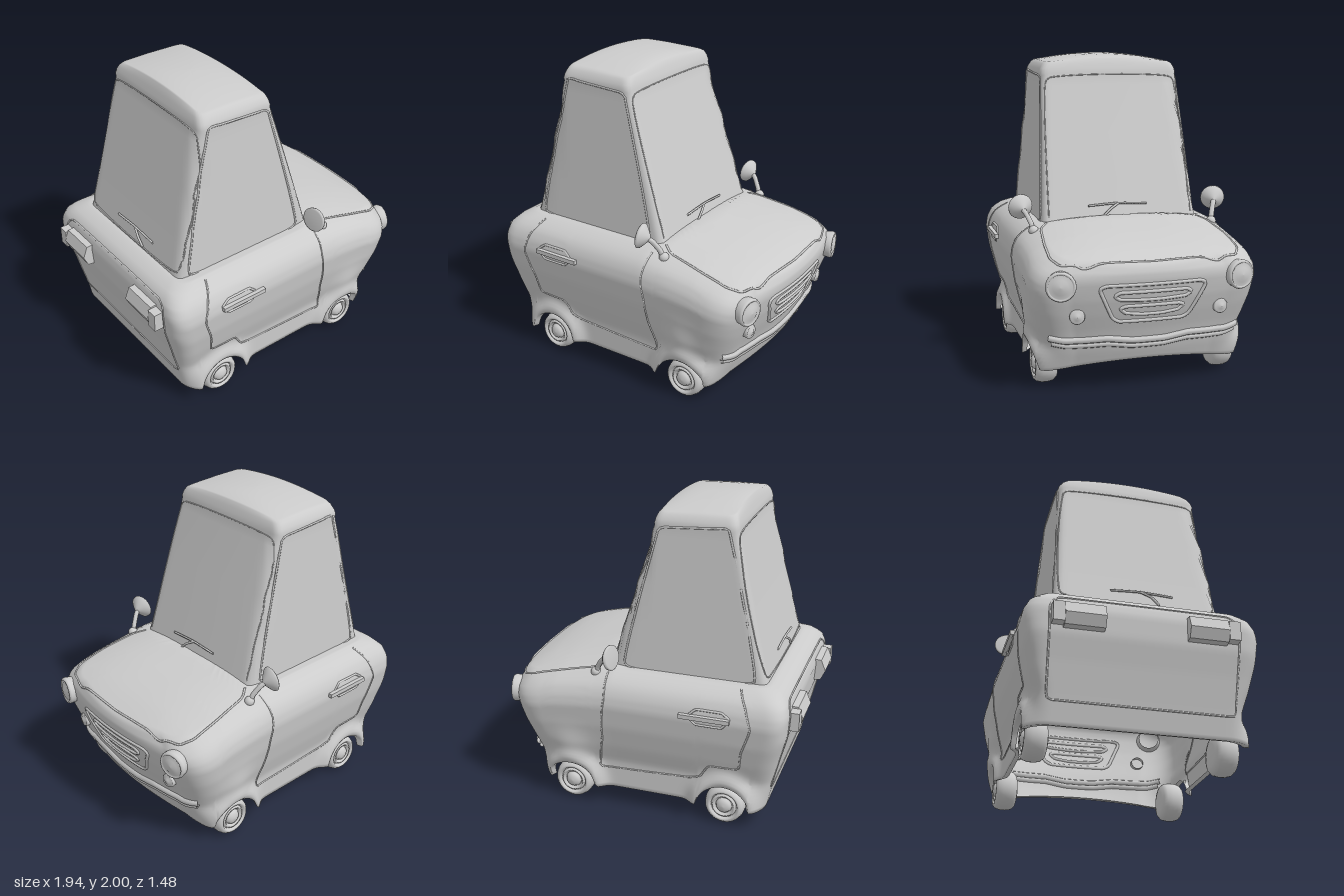
import * as THREE from 'three';

const grey = new THREE.MeshStandardMaterial({ color: 0xcccccc, side: THREE.DoubleSide });
const V = (x, y, z) => new THREE.Vector3(x, y, z);
const gauss = (d, s) => Math.exp(-((d / s) ** 2));

// Linear look-up in a short table of [key, value] pairs
function lut(table, t) {
  if (t <= table[0][0]) return table[0][1];
  for (let i = 1; i < table.length; i++) {
    const [a, p] = table[i - 1], [b, q] = table[i];
    if (t <= b) return p + (q - p) * (t - a) / (b - a);
  }
  return table[table.length - 1][1];
}

// Rounded plan outline (x, z) with a bowed front edge
function outline(xb, xf, w, rb, rf, bow, n) {
  const s = new THREE.Shape(), f = xf - bow;
  s.moveTo(xb + rb, -w).lineTo(f - rf, -w);
  s.quadraticCurveTo(f, -w, f, -w + rf);
  s.quadraticCurveTo(xf + bow, 0, f, w - rf);
  s.quadraticCurveTo(f, w, f - rf, w);
  s.lineTo(xb + rb, w).quadraticCurveTo(xb, w, xb, w - rb);
  s.lineTo(xb, -w + rb).quadraticCurveTo(xb, -w, xb + rb, -w);
  return s.getSpacedPoints(n).slice(0, n);
}

// Skin through closed rings ordered from bottom to top
function loft(rings) {
  const n = rings[0].length, idx = [];
  for (let j = 0; j < rings.length - 1; j++)
    for (let i = 0; i < n; i++) {
      const a = j * n + i, b = j * n + (i + 1) % n;
      idx.push(a, a + n, b, b, a + n, b + n);
    }
  const g = new THREE.BufferGeometry().setFromPoints(rings.flat());
  g.setIndex(idx);
  g.computeVertexNormals();
  return g;
}

// Body shape rules
const ARCHES = [-0.525, 0.505];
const WIDTH = [[0.13, 0.625], [0.32, 0.625], [0.45, 0.665], [0.6, 0.7], [0.75, 0.718], [0.82, 0.705], [0.88, 0.675], [0.92, 0.63], [0.95, 0.57]];
const FRONT = [[0.13, 0.76], [0.25, 0.81], [0.4, 0.86], [0.5, 0.9], [0.6, 0.935], [0.72, 0.965], [0.77, 0.965], [0.81, 0.945]];
const BACK = [[0.13, 0.78], [0.3, 0.815], [0.5, 0.86], [0.65, 0.9], [0.8, 0.91], [0.87, 0.89], [0.92, 0.84], [0.945, 0.78]];
const EDGE = [[0.22, 0.945], [0.6, 0.89], [0.8, 0.845], [0.95, 0.79]];
const CROWN = [[0.15, 0], [0.3, 0.055], [0.8, 0.037], [0.97, 0.02]];
const deck = (x, z) => lut(EDGE, x) + lut(CROWN, x) * (1 - Math.min(1, Math.abs(z / 0.58) ** 3));

function bottom(x, z) {
  if (x > 0.7) return 0.13 + 0.06 * Math.max(0, 1 - (z / 0.55) ** 2);
  let y = 0.13;
  if (Math.abs(z) > 0.45) for (const c of ARCHES) {
    const d = Math.abs(x - c) / 0.172;
    if (d < 1) y = 0.13 + 0.145 * Math.sqrt(1 - d * d);
  }
  return y;
}

function flare(x, y) {
  let f = 0.035 * gauss(x - 0.51, 0.13) * gauss(y - 0.4, 0.12);
  for (const c of ARCHES) f += 0.05 * gauss(Math.hypot(x - c, y - 0.13) - 0.18, 0.055);
  return f;
}

function bodyGeometry() {
  const base = outline(-0.91, 0.97, 0.71, 0.12, 0.22, 0.055, 320), rows = 32, rings = [];
  for (let j = 0; j <= rows; j++) {
    const v = j / rows;
    rings.push(base.map(p => {
      let x = p.x, y = 0, z = p.y, b = 0.13;
      for (let k = 0; k < 5; k++) {
        b = bottom(x, z);
        y = b + (deck(x, z) - b) * v;
        x = p.x > 0 ? p.x * lut(FRONT, y) / 0.97 : p.x * lut(BACK, y) / 0.91;
        z = p.y * lut(WIDTH, b + (0.95 - b) * v) / 0.71;
      }
      if (Math.abs(p.y) > 0.5) z += Math.sign(z) * flare(x, y) * Math.min(1, (Math.abs(p.y) - 0.5) / 0.15);
      return V(x, y, z);
    }));
  }
  // Turned-in lower lip, then the hood and deck
  rings.unshift(rings[0].map(p => V(p.x * 0.97, p.y + 0.005, p.z * 0.95)));
  const top = rings[rings.length - 1];
  for (let s = 0.97; s > -0.01; s -= 0.0808)
    rings.push(top.map(p => V(p.x * s, deck(p.x * s, p.z * s), p.z * s)));
  return loft(rings);
}

function cabinGeometry() {
  const rows = [[0.92, -0.755, 0.285, 0.515], [1.2, -0.685, 0.2, 0.498], [1.5, -0.615, 0.11, 0.48], [1.8, -0.545, 0.018, 0.462],
    [1.86, -0.532, 0.004, 0.459], [1.875, -0.535, 0.004, 0.462], [1.905, -0.528, -0.004, 0.455], [1.935, -0.518, -0.016, 0.436], [1.95, -0.503, -0.03, 0.418]];
  const roof = (x, z) => 1.95 + 0.05 * (1 - (z / 0.43) ** 2) * (1 - Math.abs((x + 0.28) / 0.3) ** 4) - 0.03 * Math.max(0, x + 0.3);
  const rings = rows.map(([y, b, f, w], i) => outline(b, f, w, 0.05, 0.05, 0.008, 140)
    .map(p => V(p.x, i === rows.length - 1 ? roof(p.x, p.y) : y, p.y)));
  const top = rings[rings.length - 1];
  for (const s of [0.95, 0.88, 0.75, 0.6, 0.4, 0.2, 0])
    rings.push(top.map(p => {
      const x = -0.267 + (p.x + 0.267) * s, z = p.z * s;
      return V(x, roof(x, z), z);
    }));
  return loft(rings);
}

// Rays that lay a flat drawing onto a surface: side (x,y), front and back (z,y), top (x,z)
const RAYS = {
  side: (a, b) => [V(a, b, 3), V(0, 0, -1)],
  front: (a, b) => [V(3, b, a), V(-1, 0, 0)],
  back: (a, b) => [V(-3, b, a), V(1, 0, 0)],
  top: (a, b) => [V(a, 4, b), V(0, -1, 0)],
};
function project(mesh, mode, a, b) {
  const hit = new THREE.Raycaster(...RAYS[mode](a, b)).intersectObject(mesh)[0];
  return hit && hit.point;
}

export function createModel() {
  const car = new THREE.Group();
  car.name = 'car';
  const add = (name, geometry, parent = car) => {
    const m = new THREE.Mesh(geometry, grey);
    m.name = name;
    parent.add(m);
    return m;
  };
  const tube = (pts, r, closed = false, n = 24) =>
    new THREE.TubeGeometry(new THREE.CatmullRomCurve3(pts, closed, 'catmullrom', 0.3), n, r, 6, closed);
  const lathe = pts => new THREE.LatheGeometry(pts.map(p => new THREE.Vector2(...p)), 36);

  const body = add('body', bodyGeometry());
  const cabin = add('cabin', cabinGeometry());

  // A bead following a surface
  function seam(name, mesh, mode, pts, r = 0.006, closed = false, parent = car) {
    const flat = new THREE.CatmullRomCurve3(pts.map(p => V(p[0], p[1], 0)), closed, 'catmullrom', 0.12);
    const path = flat.getSpacedPoints(70).map(p => project(mesh, mode, p.x, p.y)).filter(Boolean);
    if (closed) path.pop();
    return add(name, tube(path, r, closed, 110), parent);
  }
  const bothSides = pts => [...pts, ...pts.slice().reverse().map(([a, b]) => [-a, b])];

  // Hood, grille, bumper and tailgate
  seam('hoodSeam', body, 'top', [[0.29, -0.5], [0.36, -0.55], [0.6, -0.58], [0.78, -0.585], [0.86, -0.54], [0.905, -0.4], [0.925, 0],
    [0.905, 0.4], [0.86, 0.54], [0.78, 0.585], [0.6, 0.58], [0.36, 0.55], [0.29, 0.5]], 0.007);
  seam('grilleFrame', body, 'front', bothSides([[0.28, 0.695], [0.325, 0.67], [0.24, 0.49], [0.19, 0.46]]), 0.012, true);
  seam('upperGrilleSlot', body, 'front', bothSides([[0.2, 0.65], [0.235, 0.628], [0.2, 0.605], [0.06, 0.597]]), 0.012, true);
  seam('lowerGrilleSlot', body, 'front', bothSides([[0.16, 0.56], [0.195, 0.545], [0.16, 0.515], [0.06, 0.502]]), 0.012, true);
  const lip = bothSides([[0.59, 0.355], [0.5, 0.338], [0.4, 0.338], [0.25, 0.345], [0.1, 0.325]]);
  seam('bumperUpper', body, 'front', lip, 0.024);
  seam('bumperLower', body, 'front', lip.map(([z, y]) => [z * 0.97, y - 0.035]), 0.02);
  seam('tailgateSeam', body, 'back', bothSides([[0.5, 0.87], [0.57, 0.8], [0.56, 0.3], [0.53, 0.27]]), 0.006, true);
  seam('windscreenSeam', cabin, 'front', bothSides([[0.475, 0.98], [0.425, 1.84]]), 0.004);
  seam('rearGlassSeam', cabin, 'back', bothSides([[0.475, 0.98], [0.425, 1.84]]), 0.005, true);

  // Everything on one flank, then mirrored
  for (const s of [1, -1]) {
    const flank = new THREE.Group();
    flank.name = s > 0 ? 'leftFlank' : 'rightFlank';
    car.add(flank);

    seam('doorSeam', body, 'side', [[0.25, 0.93], [0.24, 0.8], [0.26, 0.65], [0.27, 0.5], [0.3, 0.27], [-0.28, 0.29], [-0.37, 0.32],
      [-0.43, 0.41], [-0.62, 0.42], [-0.64, 0.55], [-0.7, 0.73], [-0.66, 0.86], [-0.61, 0.935]], 0.006, false, flank);
    seam('sideWindowSeam', cabin, 'side', [[-0.67, 0.955], [-0.48, 1.87], [-0.42, 1.88], [-0.08, 1.86], [-0.04, 1.84], [0.17, 0.955]], 0.007, true, flank);
    seam('handleRecess', body, 'side', [[-0.57, 0.78], [-0.52, 0.815], [-0.36, 0.815], [-0.31, 0.77], [-0.36, 0.72], [-0.52, 0.72]], 0.008, true, flank);
    const handle = add('doorHandle', new THREE.BoxGeometry(0.32, 0.028, 0.026), flank);
    handle.position.set(-0.415, 0.77, 0.728);

    // Headlight and fog lamp, turned to the front
    const lamp = (name, pts, z, y, yaw) => {
      const p = project(body, 'front', z, y) || V(0.88, y, z);
      const m = add(name, lathe(pts), flank);
      m.position.copy(p);
      m.rotation.set(0, -yaw, -Math.PI / 2);
    };
    lamp('headlight', [[0.07, -0.07], [0.085, -0.02], [0.09, 0.02], [0.084, 0.034], [0.074, 0.036], [0.07, 0.026], [0.045, 0.04], [0, 0.046]], 0.55, 0.705, 0.22);
    lamp('fogLamp', [[0.042, -0.04], [0.046, 0.015], [0.041, 0.024], [0.034, 0.02], [0.018, 0.03], [0, 0.034]], 0.445, 0.505, 0.1);

    // Mirror on a curved stalk
    const mirror = add('mirrorHead', lathe([[0, 0], [0.07, 0], [0.08, 0.008], [0.078, 0.02], [0.055, 0.04], [0.026, 0.062], [0, 0.075]]), flank);
    mirror.position.set(0.195, 1.055, 0.65);
    mirror.rotation.set(0, 0.2, -Math.PI / 2 - 0.15);
    add('mirrorStalk', tube([V(0.235, 1.05, 0.647), V(0.275, 1.02, 0.625), V(0.315, 0.96, 0.6), V(0.335, 0.9, 0.59)], 0.017), flank);
    const foot = add('mirrorFoot', new THREE.SphereGeometry(0.032, 16, 12), flank);
    foot.position.set(0.335, 0.92, 0.59);

    // Tail lamp: hexagonal bar with an end block
    const hex = new THREE.Shape([[-0.87, 0.825], [-0.945, 0.82], [-0.975, 0.745], [-0.945, 0.68], [-0.87, 0.67]].map(p => new THREE.Vector2(...p)));
    const bar = add('tailLamp', new THREE.ExtrudeGeometry(hex, { depth: 0.24, bevelEnabled: false }), flank);
    bar.position.z = 0.25;
    const block = add('tailLampEnd', new THREE.BoxGeometry(0.1, 0.12, 0.07), flank);
    block.position.set(-0.915, 0.75, 0.525);

    // Wheels with rounded tyres and domed hubs
    for (const x of ARCHES) {
      const wheel = add(x > 0 ? 'frontWheel' : 'rearWheel', lathe([[0, -0.075], [0.07, -0.075], [0.105, -0.066], [0.124, -0.045], [0.13, -0.01],
        [0.129, 0.025], [0.12, 0.055], [0.105, 0.07], [0.092, 0.07], [0.085, 0.055], [0.08, 0.052], [0.074, 0.066], [0.065, 0.066],
        [0.056, 0.05], [0.05, 0.05], [0.044, 0.066], [0.025, 0.077], [0, 0.08]]), flank);
      wheel.position.set(x, 0.13, 0.572);
      wheel.rotation.x = Math.PI / 2;
    }
    flank.scale.z = s;
  }

  // Wipers: blade and arm at the foot of each screen
  for (const [name, x0, dir] of [['frontWiper', 0.262, 1], ['rearWiper', -0.735, -1]]) {
    const wiper = new THREE.Group();
    wiper.name = name;
    car.add(wiper);
    add('wiperBlade', tube([V(x0, 1.045, 0.22), V(x0, 1.055, 0.02), V(x0, 1.045, -0.17)], 0.007), wiper);
    add('wiperArm', tube([V(x0 + 0.02 * dir, 0.97, 0.13), V(x0 + 0.018 * dir, 1.02, 0.08), V(x0, 1.055, 0.02)], 0.008), wiper);
  }
  return car;
}
